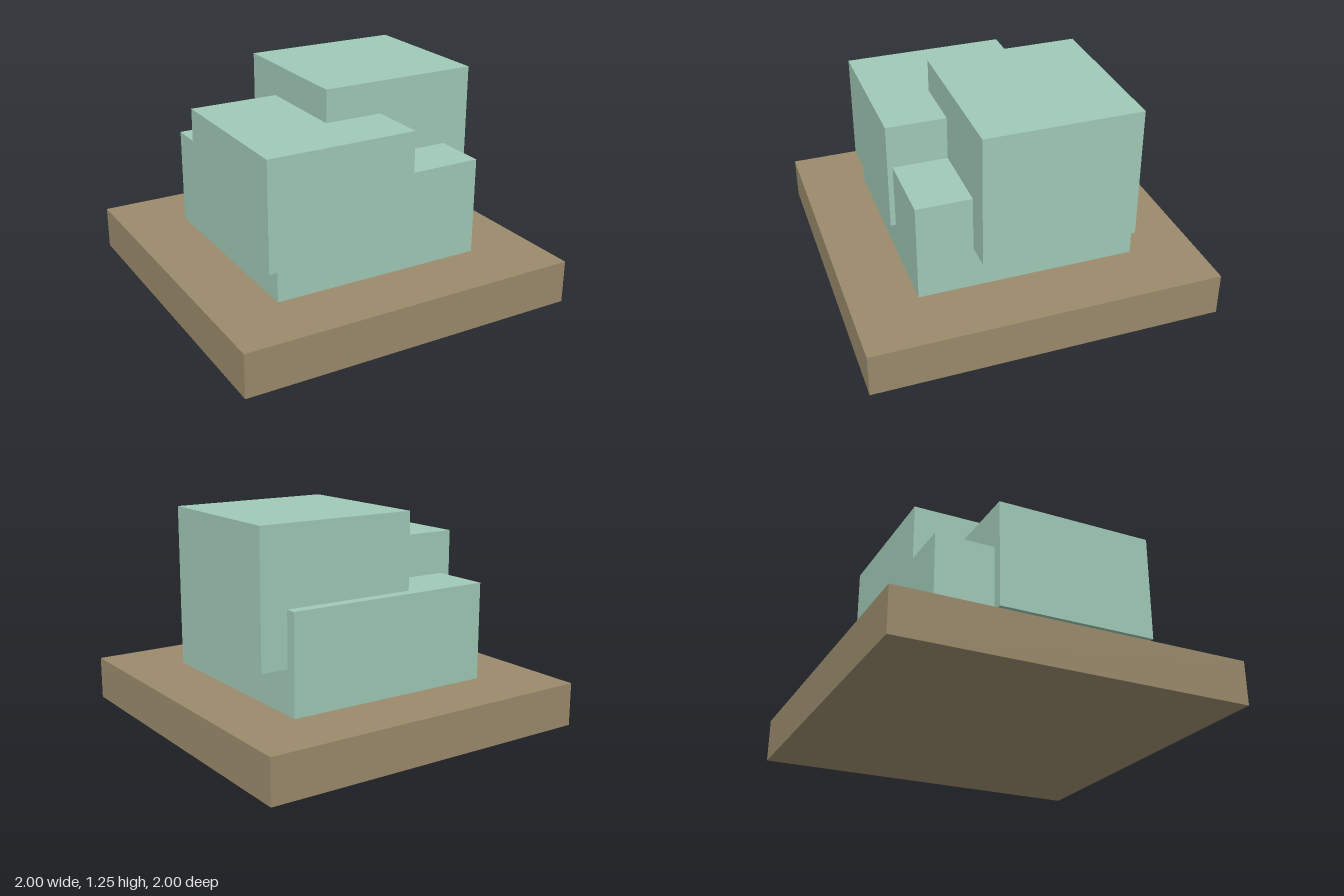
import * as THREE from 'three';

export function createModel() {
  const model = new THREE.Group();
  model.name = 'potted bush';

  const soil = new THREE.MeshStandardMaterial({ color: 0x9b8b6c });
  soil.name = 'earth brown';
  const leaf = new THREE.MeshStandardMaterial({ color: 0xa0cab7 });
  leaf.name = 'leaf green';

  // Box given by its lower and upper corners
  function block(name, material, min, max) {
    const size = max.map((v, i) => v - min[i]);
    const mesh = new THREE.Mesh(new THREE.BoxGeometry(...size), material);
    mesh.position.set(...max.map((v, i) => (v + min[i]) / 2));
    mesh.name = name;
    model.add(mesh);
  }

  // Ground slab
  block('groundSlab', soil, [-1, 0, -1], [1, 0.25, 1]);

  // Three overlapping foliage blocks
  block('lowerFoliage', leaf, [-0.625, 0.25, -0.625], [0.625, 0.8125, 0.625]);
  block('rightFoliage', leaf, [-0.6875, 0.4375, -0.2825], [0.1875, 1.0625, 0.655]);
  block('upperLeftFoliage', leaf, [-0.1575, 0.5, -0.5625], [0.78, 1.25, 0.3125]);

  return model;
}
